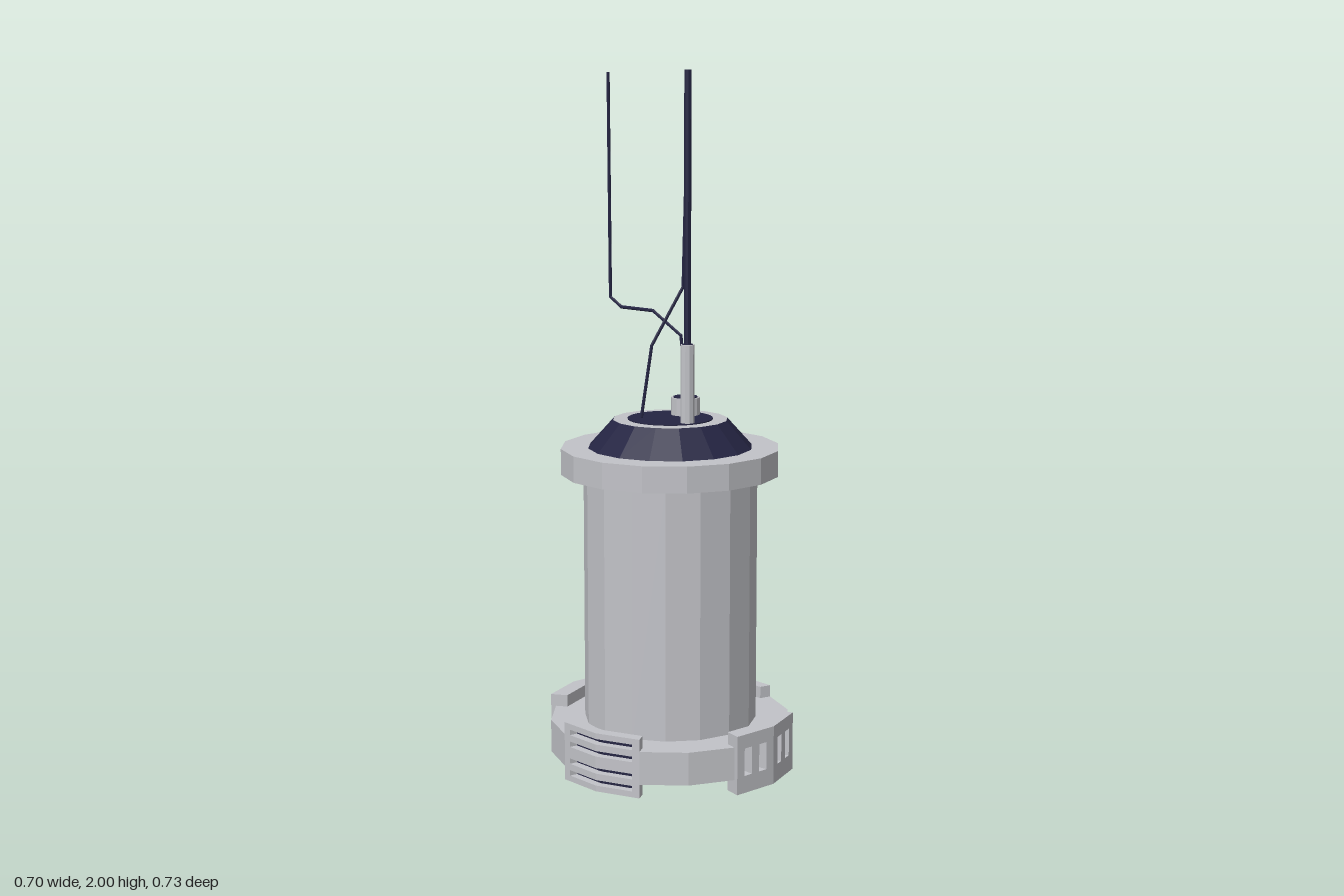
import * as THREE from 'three';

export function createModel() {
  const root = new THREE.Group();
  const grey = new THREE.MeshStandardMaterial({ color: 0xc2c3c8, flatShading: true });
  grey.name = 'light grey metal';
  const navy = new THREE.MeshStandardMaterial({ color: 0x252543, flatShading: true });
  navy.name = 'dark navy';

  const add = (name, geo, mat, parent = root) => {
    const m = new THREE.Mesh(geo, mat);
    m.name = name;
    parent.add(m);
    return m;
  };
  // Upright cylinder or cone from y0 to y1
  const column = (name, mat, r0, r1, y0, y1, sides = 16, x = 0, z = 0) => {
    const geo = new THREE.CylinderGeometry(r1, r0, y1 - y0, sides);
    return add(name, geo.translate(x, (y0 + y1) / 2, z), mat);
  };

  // Sixteen-sided base disc, cut back where the four foot pads sit
  const core = [];
  for (let k = 0; k < 16; k++) {
    const radii = [[0.317], [0.317, 0.35], [0.35], [0.35, 0.317]][k % 4];
    for (const r of radii) {
      const a = (k * Math.PI) / 8;
      core.push(new THREE.Vector2(r * Math.cos(a), r * Math.sin(a)));
    }
  }
  const baseGeo = new THREE.ExtrudeGeometry(new THREE.Shape(core), { depth: 0.095, bevelEnabled: false });
  add('base', baseGeo.rotateX(-Math.PI / 2).translate(0, 0.04, 0), grey);

  // Bends a flat panel (u from -1 to 1, y) into one facet of a sixteen-sided ring
  const half = Math.PI / 16;
  const facet = (shape, r0, r1, turn) => {
    const geo = new THREE.ExtrudeGeometry(shape, { depth: 1, bevelEnabled: false });
    const p = geo.attributes.position;
    for (let i = 0; i < p.count; i++) {
      const a = (r0 + (r1 - r0) * p.getZ(i)) * Math.cos(half);
      p.setXYZ(i, p.getX(i) * Math.tan(half) * a, p.getY(i), a);
    }
    geo.computeVertexNormals();
    return geo.rotateY(turn);
  };
  const rect = (u0, u1, y0, y1) => [[u0, y0], [u1, y0], [u1, y1], [u0, y1]].map(([u, y]) => new THREE.Vector2(u, y));
  const plain = () => new THREE.Shape(rect(-1, 1, 0, 0.17));

  // Front and back panels: two upright slots per facet
  const uprightSlots = () => {
    const s = plain();
    for (const u of [-0.4, 0.4]) s.holes.push(new THREE.Path(rect(u - 0.2, u + 0.2, 0.05, 0.13)));
    return s;
  };
  // Side panels: four level slots running through the middle corner
  const levelSlots = (side) => {
    const pts = [[-1, 0], [1, 0], [1, 0.17], [-1, 0.17]];
    for (const y of [0.145, 0.11, 0.06, 0.025]) {
      pts.push([-1, y + 0.008], [0.66, y + 0.008], [0.66, y - 0.008], [-1, y - 0.008]);
    }
    return new THREE.Shape(pts.map(([u, y]) => new THREE.Vector2(u * side, y)));
  };

  // Four slotted foot pads
  ['front', 'left', 'back', 'right'].forEach((label, i) => {
    const pad = new THREE.Group();
    pad.name = label + 'FootPad';
    const level = i % 2 === 1;
    for (const side of [-1, 1]) {
      const turn = (i * Math.PI) / 2 + side * half;
      add('padBack', facet(plain(), 0.315, 0.322, turn), grey, pad);
      add('slotInside', facet(new THREE.Shape(rect(-0.98, 0.98, 0.012, 0.158)), 0.322, 0.326, turn), navy, pad);
      add('slottedPanel', facet(level ? levelSlots(side) : uprightSlots(), 0.322, level ? 0.35 : 0.365, turn), grey, pad);
    }
    root.add(pad);
  });

  // Housing, flange and sloped cap
  column('body', grey, 0.25, 0.25, 0.13, 0.87).rotation.y = half;
  column('flange', grey, 0.315, 0.315, 0.86, 0.935);
  add('capSlope', new THREE.CylinderGeometry(0.165, 0.237, 0.08, 16, 1, true).translate(0, 0.975, 0), navy);
  column('capTop', grey, 0.165, 0.165, 1.01, 1.015);
  column('capDisc', navy, 0.122, 0.122, 1.012, 1.018, 32);

  // Cable sockets on the cap
  column('plug', grey, 0.042, 0.042, 1.015, 1.068, 12, 0.073, 0);
  column('plugInside', navy, 0.035, 0.035, 1.06, 1.071, 12, 0.073, 0);
  column('pipe', grey, 0.02, 0.02, 1.015, 1.24, 10, -0.04, 0.09);
  column('pipeInside', navy, 0.015, 0.015, 1.23, 1.242, 10, -0.04, 0.09);
  column('rod', navy, 0.01, 0.01, 1.2, 2, 8, -0.04, 0.09);

  // Bent wires made of straight lengths
  const wire = (name, pts) => {
    const g = new THREE.Group();
    g.name = name;
    const v = pts.map((p) => new THREE.Vector3(...p));
    for (let i = 0; i + 1 < v.length; i++) {
      const d = v[i + 1].clone().sub(v[i]);
      const m = add('wireLength', new THREE.CylinderGeometry(0.005, 0.005, d.length() + 0.003, 6), navy, g);
      m.position.copy(v[i]).addScaledVector(d, 0.5);
      m.quaternion.setFromUnitVectors(new THREE.Vector3(0, 1, 0), d.normalize());
    }
    root.add(g);
  };
  wire('plugWire', [
    [0.08, 1.06, 0], [0.078, 1.245, -0.02], [0.077, 1.31, -0.12],
    [0.076, 1.313, -0.235], [0.075, 1.34, -0.275], [0.075, 1.99, -0.28],
  ]);
  wire('capWire', [[-0.052, 1.015, -0.065], [-0.028, 1.225, -0.045], [0.045, 1.39, 0.012], [0.045, 1.998, 0.03]]);

  return root;
}
